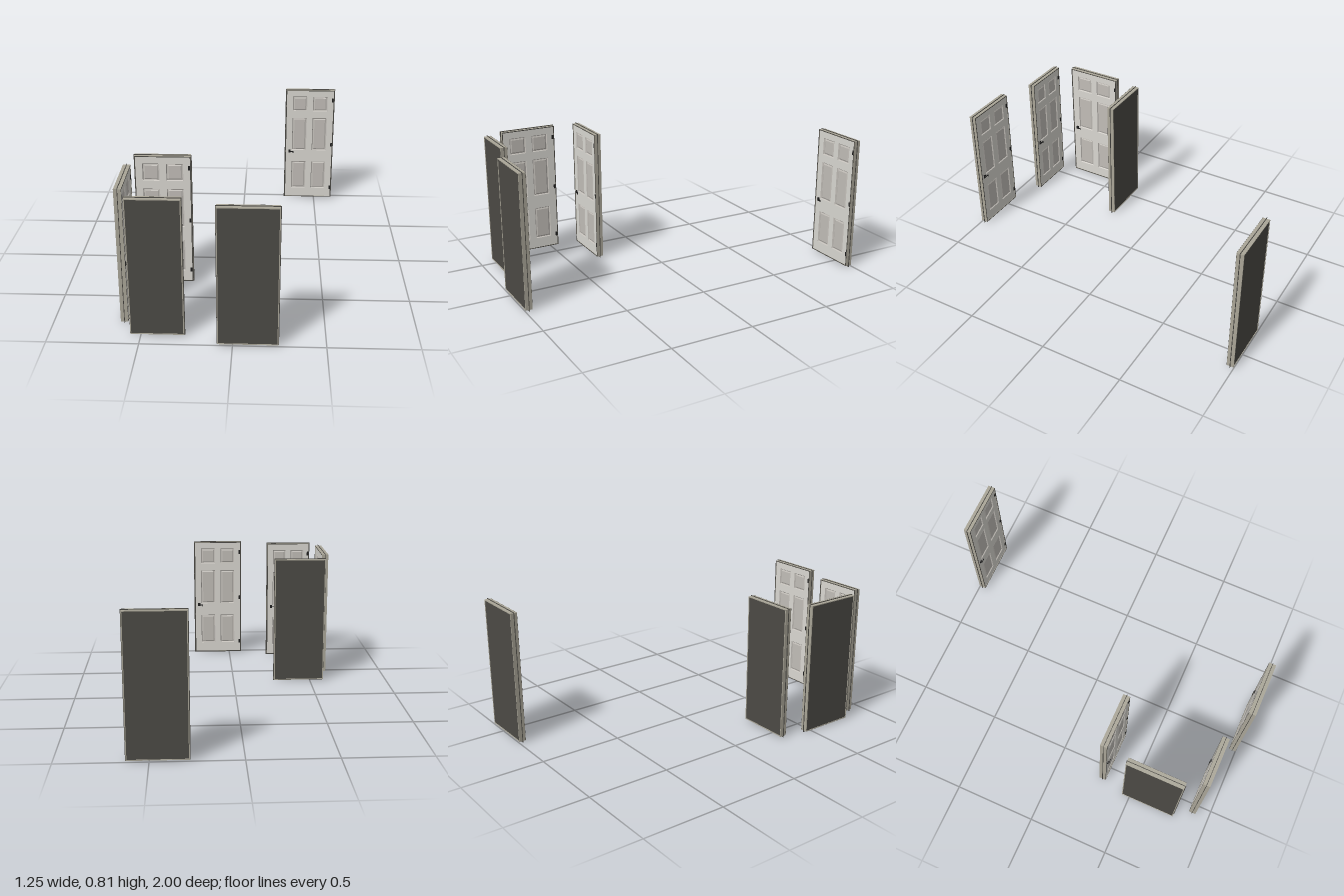
import * as THREE from 'three';

const mat = (color) => new THREE.MeshStandardMaterial({ color, side: THREE.DoubleSide, flatShading: true });
const tan = mat(0xaaa698), dark = mat(0x4c4a45), white = mat(0xdad8d2), field = mat(0xc2beb8), black = mat(0x1c1c1c);

const H = 0.81, D = 0.042, M = 0.004; // height, depth, seam margin

function add(parent, name, geometry, material, x = 0, y = 0, z = 0) {
  const mesh = new THREE.Mesh(geometry, material);
  mesh.name = name;
  mesh.position.set(x, y, z);
  parent.add(mesh);
  return mesh;
}

const box = (w, h, d) => new THREE.BoxGeometry(w, h, d);

// Rectangle outline from x0,y0 to x1,y1
function rect(Type, x0, y0, x1, y1) {
  return new Type([[x0, y0], [x1, y0], [x1, y1], [x0, y1]].map(p => new THREE.Vector2(...p)));
}

// Rectangular plate with rectangular openings, front at z = depth
function plate(x0, y0, x1, y1, holes, depth) {
  const shape = rect(THREE.Shape, x0, y0, x1, y1);
  holes.forEach(h => shape.holes.push(rect(THREE.Path, ...h)));
  return new THREE.ExtrudeGeometry(shape, { depth, bevelEnabled: false });
}

// Sunken panel: nested rectangles [inset, z] joined by sloping bands and closed by a flat centre
function sunkenPanel(x0, y0, x1, y1, rings) {
  const pos = [], index = [];
  rings.forEach(([i, z]) => pos.push(x0 + i, y0 + i, z, x1 - i, y0 + i, z, x1 - i, y1 - i, z, x0 + i, y1 - i, z));
  for (let r = 0; r < rings.length - 1; r++) {
    for (let k = 0; k < 4; k++) {
      const a = r * 4 + k, b = r * 4 + (k + 1) % 4;
      index.push(a, b, b + 4, a, b + 4, a + 4);
    }
  }
  const c = (rings.length - 1) * 4;
  index.push(c, c + 1, c + 2, c, c + 2, c + 3);
  const g = new THREE.BufferGeometry();
  g.setAttribute('position', new THREE.Float32BufferAttribute(pos, 3));
  g.setIndex(index);
  const flat = g.toNonIndexed();
  flat.computeVertexNormals();
  return flat;
}

function makeDoor(w) {
  const door = new THREE.Group();
  const hw = w / 2, s = w / 0.34, f = D / 2;
  const bottom = 0.008, top = H - M;

  // Surround: pale edge frame with a dark seam round the middle
  add(door, 'frame', plate(-hw + M, bottom, hw - M, top,
    [[-hw + 0.009, 0.013, hw - 0.009, H - 0.009]], D - 0.001), tan, 0, 0, -f);
  add(door, 'seam', box(w, H, 0.003), dark, 0, H / 2, 0);
  add(door, 'frontTrim', plate(-hw + M, bottom, hw - M, top,
    [[-hw + 0.009, 0.013, hw - 0.009, H - 0.009]], 0.001), dark, 0, 0, f - 0.001);
  add(door, 'backPanel', box(w - 0.018, H - 0.022, 0.016), dark, 0, H / 2 + 0.002, -f + 0.011);

  // Leaf with six sunken panels
  const rows = [[0.075, 0.28], [0.365, 0.605], [0.655, 0.76]];
  const columns = [[-0.12, -0.02], [0.02, 0.12]];
  const openings = [];
  rows.forEach(([y0, y1]) => columns.forEach(([x0, x1]) => openings.push([x0 * s, y0, x1 * s, y1])));
  const face = f - 0.004;
  add(door, 'leaf', plate(-hw + 0.009, 0.013, hw - 0.009, H - 0.009, openings, 0.012), white, 0, 0, face - 0.012);
  openings.forEach(o => add(door, 'sunkenPanel',
    sunkenPanel(...o, [[0, 0], [0.004, -0.006], [0.007, -0.006], [0.014, -0.003]]), field, 0, 0, face));

  // Hinges
  for (const y of [0.083, 0.408, 0.735]) {
    add(door, 'hinge', box(0.011, 0.026, 0.004), black, hw - 0.014, y, face + 0.001);
  }

  // Lever handle
  const handle = new THREE.Group();
  handle.name = 'handle';
  handle.position.set(-hw + 0.034, 0.356, face);
  add(handle, 'backplate', box(0.016, 0.022, 0.004), black, 0, 0, 0.002);
  add(handle, 'spindle', new THREE.CylinderGeometry(0.004, 0.004, 0.008, 12).rotateX(Math.PI / 2), black, 0, 0, 0.004);
  add(handle, 'lever', box(0.03, 0.006, 0.003), black, 0.012, 0, 0.0085);
  add(handle, 'leverTip', box(0.004, 0.012, 0.003), black, 0.025, -0.005, 0.0085);
  door.add(handle);
  return door;
}

export function createModel() {
  const model = new THREE.Group();
  model.name = 'doorSet';
  // name, width, x, z, turn
  const doors = [
    ['farDoor', 0.34, 0.455, -0.979, 0],
    ['middleDoor', 0.33, -0.425, 0.301, 0],
    ['sideDoor', 0.35, -0.606, 0.622, Math.PI / 2],
    ['narrowDoor', 0.3, -0.41, 0.896, Math.PI],
    ['nearDoor', 0.333, 0.081, 0.979, Math.PI],
  ];
  for (const [name, w, x, z, turn] of doors) {
    const door = makeDoor(w);
    door.name = name;
    door.position.set(x, 0, z);
    door.rotation.y = turn;
    model.add(door);
  }
  return model;
}
